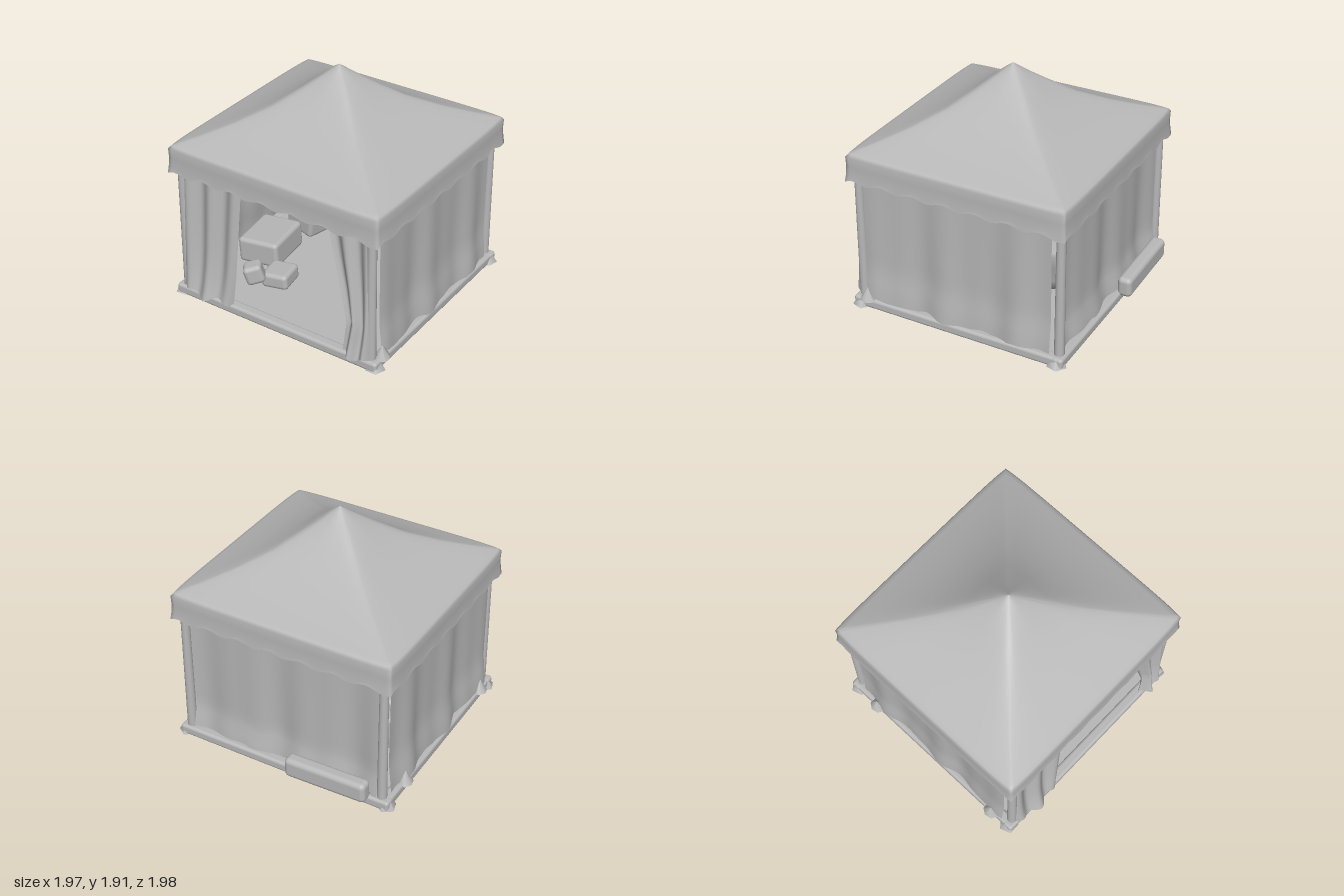
import * as THREE from 'three';
import { mergeVertices } from 'three/addons/utils/BufferGeometryUtils.js';
import { RoundedBoxGeometry } from 'three/addons/geometries/RoundedBoxGeometry.js';

const canvas = new THREE.MeshStandardMaterial({ color: 0xb8b8b8, side: THREE.DoubleSide });
canvas.name = 'grey canvas';

const { lerp, smoothstep } = THREE.MathUtils;

// Smooth sheet through a grid of points given by f(u, v)
function sheet(f, nu, nv) {
  const pos = [], idx = [];
  for (let j = 0; j <= nv; j++)
    for (let i = 0; i <= nu; i++) pos.push(...f(i / nu, j / nv));
  for (let j = 0; j < nv; j++)
    for (let i = 0; i < nu; i++) {
      const a = j * (nu + 1) + i, b = a + 1, c = a + nu + 1, d = c + 1;
      idx.push(a, c, b, b, c, d);
    }
  let g = new THREE.BufferGeometry();
  g.setAttribute('position', new THREE.Float32BufferAttribute(pos, 3));
  g.setIndex(idx);
  g = mergeVertices(g, 1e-4);
  g.computeVertexNormals();
  return g;
}

// Point on the outline of a unit square, with corners rounded by k
function squarePoint(u, k) {
  const s = (u * 4) % 4, side = Math.floor(s), t = (s - side) * 2 - 1;
  const [x, z] = [[t, 1], [1, -t], [-t, -1], [-1, t]][side];
  const f = lerp(1, 1 / Math.hypot(x, z), k);
  // pull only the corners in, leaving the middle of each side in place
  const w = lerp(f, 1, (1 - k) * (1 - Math.abs(t) ** 6));
  return [x * w, z * w];
}

export function createModel() {
  const tent = new THREE.Group();
  tent.name = 'pavilionTent';
  const add = (name, geo, x = 0, y = 0, z = 0, parent = tent) => {
    const m = new THREE.Mesh(geo, canvas);
    m.name = name;
    m.position.set(x, y, z);
    parent.add(m);
    return m;
  };

  // Roof and valance: [half size, height, corner rounding] from peak to hem
  const rings = [
    [0.001, 1.908, 1], [0.05, 1.875, 1], [0.12, 1.82, 0.8], [0.25, 1.715, 0.45],
    [0.4, 1.597, 0.25], [0.6, 1.483, 0.14], [0.78, 1.4, 0.09], [0.9, 1.352, 0.07],
    [0.935, 1.338, 0.06], [0.95, 1.315, 0.05], [0.947, 1.24, 0.05],
    [0.95, 1.16, 0.04], [0.955, 1.125, 0.03],
  ];
  const last = rings.length - 1;
  add('roof', sheet((u, v) => {
    const j = Math.round(v * last), [r, y, k] = rings[j];
    const [x, z] = squarePoint(u, k);
    const t = (u * 4) % 1;
    const hem = j === last ? 0.014 * Math.sin(u * 4 * Math.PI * 14) - 0.02 * Math.abs(2 * t - 1) ** 8 : 0;
    return [x * r, y + hem, z * r * 0.975 + 0.01];
  }, 224, last));

  // Floor inside a rounded rim
  add('floor', new THREE.BoxGeometry(1.8, 0.065, 1.76), 0, 0.0385, 0.01);
  for (const s of [-1, 1]) {
    add('floorRimAlongX', new RoundedBoxGeometry(1.88, 0.085, 0.09, 3, 0.025), 0, 0.0425, 0.01 + s * 0.87);
    add('floorRimAlongZ', new RoundedBoxGeometry(0.09, 0.085, 1.82, 3, 0.025), s * 0.89, 0.0425, 0.01);
  }

  // Corner posts, feet and top beams
  for (const sx of [-1, 1]) for (const sz of [-1, 1]) {
    add('post', new THREE.CylinderGeometry(0.034, 0.04, 1.2, 14), sx * 0.86, 0.66, 0.01 + sz * 0.855);
    const foot = add('postFoot', new THREE.CylinderGeometry(0.035, 0.08, 0.07, 5), sx * 0.9, 0.04, 0.01 + sz * 0.855);
    foot.rotation.y = sx * sz * 0.6;
  }
  for (const s of [-1, 1]) {
    add('topBeamAlongX', new THREE.BoxGeometry(1.72, 0.06, 0.04), 0, 1.13, 0.01 + s * 0.855);
    add('topBeamAlongZ', new THREE.BoxGeometry(0.04, 0.06, 1.7), s * 0.86, 1.13, 0.01);
  }

  // Hanging walls with soft vertical folds and an uneven hem
  const fold = (t) => 0.018 * Math.sin(t * 17) + 0.008 * Math.sin(t * 31 + 1);
  const hemY = (t) => 0.085 + 0.012 * Math.sin(t * 23) + 0.008 * Math.sin(t * 41);
  for (const s of [-1, 1])
    add(s > 0 ? 'leftWall' : 'rightWall', sheet((u, v) => {
      const out = 0.888 + fold(u) * (0.5 + 0.5 * v) + 0.025 * smoothstep(v, 0.7, 1);
      return [s * out, lerp(1.16, hemY(u), v), lerp(0.81, -0.78, u)];
    }, 48, 14));
  add('backWall', sheet((u, v) => {
    const z = -0.825 + fold(u + 0.3) * (0.5 + 0.5 * v) - 0.035 * smoothstep(v, 0.8, 1);
    return [lerp(-0.83, 0.83, u), lerp(1.16, hemY(u + 0.4), v), z];
  }, 48, 14));

  // Front curtains drawn to each side; inner edge listed from top to bottom
  const curtain = (name, inner, outer, waves) => add(name, sheet((u, v) => {
    const a = v * (inner.length - 1), i = Math.min(inner.length - 2, Math.floor(a));
    const edge = lerp(inner[i], inner[i + 1], a - i);
    const x = lerp(outer, edge, u);
    const z = 0.86 + 0.025 * Math.sin(u * waves * Math.PI * 2) + 0.04 * v + 0.06 * v ** 5 * Math.sin(u * Math.PI);
    return [x, lerp(1.16, 0.08 + 0.02 * Math.sin(u * 11), v), z];
  }, 40, 16));
  curtain('rightFrontCurtain', [-0.3, -0.32, -0.34, -0.36, -0.39], -0.86, 2.5);
  curtain('leftFrontCurtain', [0.47, 0.53, 0.6, 0.66, 0.63], 0.87, 2);

  // Loose cloth gathered along the foot of the side walls
  for (const [x, z] of [[-0.93, 0.7], [-0.93, -0.6], [0.92, 0.8]]) {
    const bunch = add('gatheredCloth', new THREE.ConeGeometry(1, 1, 7), x, 0.13, z);
    bunch.scale.set(0.06, 0.11, 0.07);
  }

  // Rolled bundle behind the back wall
  const bundle = add('rolledBundle', new RoundedBoxGeometry(0.7, 0.17, 0.12, 3, 0.04), -0.43, 0.145, -0.93);
  bundle.rotation.z = -0.03;

  // Hanging lamp on a tapering cord
  const lamp = new THREE.Group();
  lamp.name = 'hangingLamp';
  lamp.position.set(0.01, 0, -0.1);
  tent.add(lamp);
  add('lampCord', new THREE.CylinderGeometry(0.014, 0.04, 0.48, 8), 0, 0.92, 0, lamp);
  add('lampShade', new THREE.CylinderGeometry(0.04, 0.085, 0.13, 8), 0.015, 0.63, 0, lamp);

  // Flared table
  const table = add('table', new THREE.LatheGeometry([
    [0.001, 0.07], [0.1, 0.07], [0.11, 0.15], [0.16, 0.3], [0.2, 0.43], [0.17, 0.45], [0.001, 0.455],
  ].map(([x, y]) => new THREE.Vector2(x, y)), 10), 0.02, 0, -0.35);
  table.rotation.y = 0.3;

  // Cushions and low seats along the right side: [x, y, z, width, height, depth, tilt]
  const cushions = [
    [-0.3, 0.33, 0.74, 0.15, 0.16, 0.14, 0.3], [-0.27, 0.15, 0.45, 0.23, 0.13, 0.24, 0.08],
    [0.07, 0.15, -0.1, 0.1, 0.15, 0.1, -0.15], [-0.58, 0.2, 0.15, 0.36, 0.22, 0.44, 0.06],
    [-0.52, 0.24, -0.33, 0.3, 0.26, 0.26, -0.12],
  ];
  for (const [x, y, z, w, h, d, tilt] of cushions) {
    const c = add('cushion', new RoundedBoxGeometry(w, h, d, 2, 0.035), x, y, z);
    c.rotation.set(0, tilt * 2, tilt);
  }

  return tent;
}
